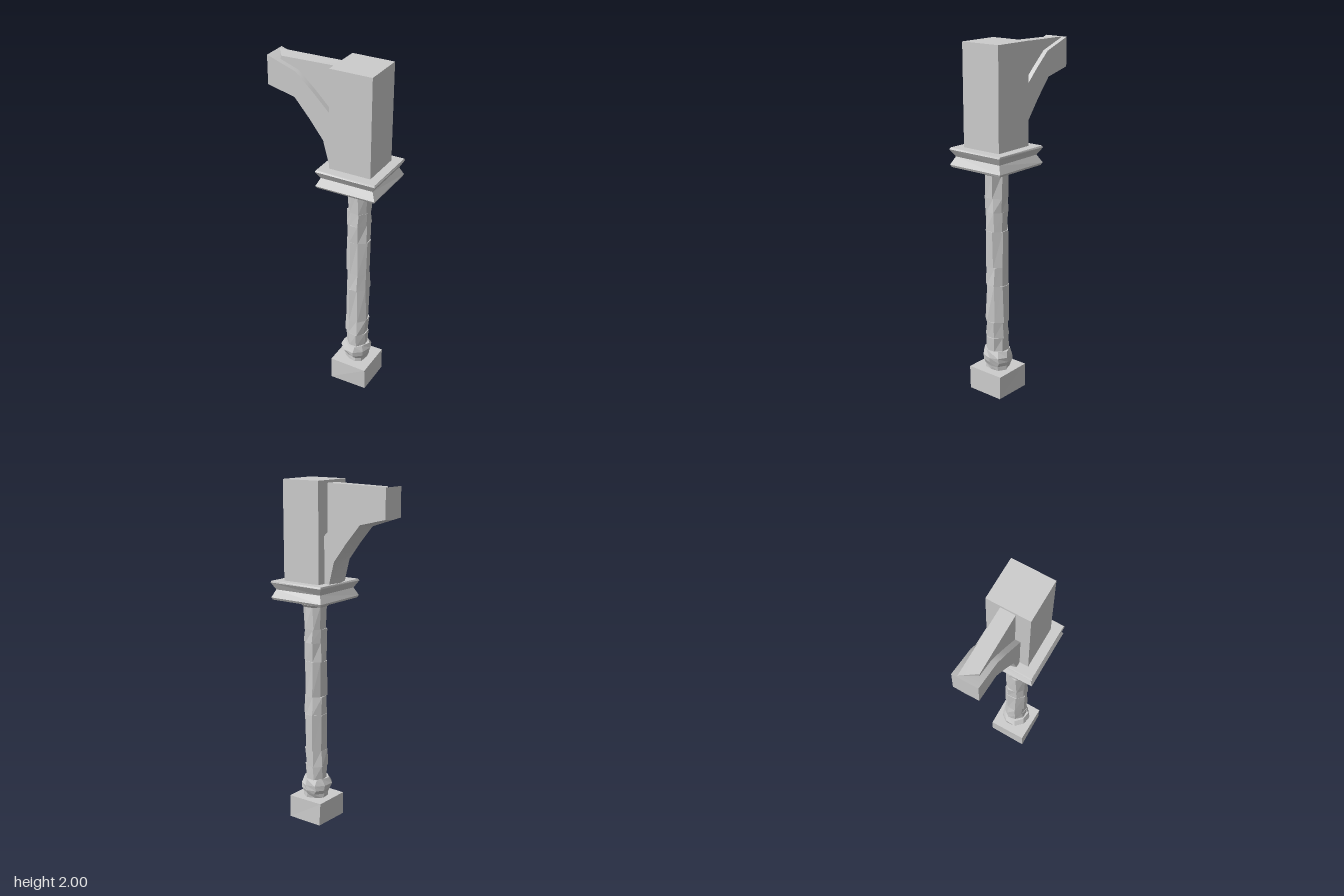
import * as THREE from 'three';
import { toCreasedNormals } from 'three/addons/utils/BufferGeometryUtils.js';

const AXIS_X = 0.17; // centre line of the column

const flat = new THREE.MeshStandardMaterial({ color: 0xcccccc, flatShading: true });
const smooth = new THREE.MeshStandardMaterial({ color: 0xcccccc });

function add(group, name, geometry, x, y, z, material = flat) {
  const mesh = new THREE.Mesh(geometry, material);
  mesh.name = name;
  mesh.position.set(x, y, z);
  group.add(mesh);
  return mesh;
}

// Chips a geometry: coincident corners always move together
function chip(geometry, amount, seed) {
  const p = geometry.attributes.position;
  const noise = (x, y, z, k) => {
    const s = Math.sin(x * 127.1 + y * 311.7 + z * 74.7 + seed * 19.3 + k * 53.9) * 4375.85;
    return (s - Math.floor(s)) * 2 - 1;
  };
  for (let i = 0; i < p.count; i++) {
    const v = [p.getX(i), p.getY(i), p.getZ(i)].map((n) => Math.round(n * 1000) / 1000 + 0);
    if (Math.hypot(v[0], v[2]) < 0.001) continue;
    p.setXYZ(i, v[0] + amount * noise(...v, 1), v[1], v[2] + amount * noise(...v, 2));
  }
  return geometry;
}

// Turned profile with few sides; [radius, height] pairs from bottom to top
function turned(profile, sides, start) {
  return new THREE.LatheGeometry(profile.map(([r, y]) => new THREE.Vector2(r, y)), sides, start);
}

// Joins equal rings of [x, y, z] points into a closed solid
function loft(rings) {
  const n = rings[0].length, out = [];
  const tri = (...pts) => pts.forEach((q) => out.push(...q));
  for (let i = 0; i < rings.length - 1; i++) {
    for (let j = 0; j < n; j++) {
      const k = (j + 1) % n;
      const a = rings[i][j], b = rings[i][k], c = rings[i + 1][k], d = rings[i + 1][j];
      tri(a, b, c);
      tri(a, c, d);
    }
  }
  const first = rings[0], last = rings[rings.length - 1];
  for (let j = 1; j < n - 1; j++) {
    tri(first[0], first[j + 1], first[j]);
    tri(last[0], last[j], last[j + 1]);
  }
  const g = new THREE.BufferGeometry();
  g.setAttribute('position', new THREE.Float32BufferAttribute(out, 3));
  return toCreasedNormals(g, 0.6);
}

export function createModel() {
  const model = new THREE.Group();
  model.name = 'bracketedColumn';

  // Square foot, slightly uneven
  add(model, 'footBlock', chip(new THREE.BoxGeometry(0.226, 0.135, 0.226), 0.004, 2), AXIS_X, 0.0675, 0);

  // Rough swelling at the bottom of the shaft
  const bulb = turned([[0, 0.13], [0.068, 0.13], [0.07, 0.16], [0.084, 0.185], [0.09, 0.215], [0.072, 0.25], [0, 0.25]], 9, 0.2);
  add(model, 'baseBulb', chip(bulb, 0.008, 5), AXIS_X, 0, 0);

  // Shaft of stacked, roughly hewn drums
  const shaft = new THREE.Group();
  shaft.name = 'shaft';
  const joints = [0.245, 0.33, 0.43, 0.65, 0.76, 0.97, 1.08, 1.16, 1.3];
  for (let i = 0; i < joints.length - 1; i++) {
    const h = joints[i + 1] - joints[i];
    const drum = new THREE.CylinderGeometry(0.066, 0.066, h, 8, 1, false, Math.PI / 8);
    add(shaft, 'drum' + (i + 1), chip(drum, 0.006, i + 1), AXIS_X, joints[i] + h / 2, 0);
  }
  model.add(shaft);

  // Flared collar below the capital
  const collar = turned([[0, 1.29], [0.072, 1.29], [0.088, 1.305], [0.088, 1.316], [0, 1.316]], 8, Math.PI / 8);
  add(model, 'collar', collar, AXIS_X, 0, 0);

  // Square capital with a waist
  const capitalProfile = [[0, 1.33], [0.17, 1.33], [0.178, 1.343], [0.155, 1.388], [0.178, 1.428], [0.174, 1.438], [0, 1.438]]
    .map(([r, y]) => [r * Math.SQRT2, y]);
  add(model, 'capital', chip(turned(capitalProfile, 4, Math.PI / 4), 0.002, 3), AXIS_X, 0, 0);

  // Upper post
  add(model, 'upperPost', new THREE.BoxGeometry(0.245, 0.565, 0.246), 0.1705, 1.7175, 0);

  // Curved brace: top edge, lower side edge and lower ridge at each station
  const stations = [
    [-0.352, 1.98, -0.352, 1.815, -0.352, 1.81],
    [-0.18, 1.92, -0.19, 1.777, -0.21, 1.763],
    [-0.08, 1.83, -0.1, 1.672, -0.12, 1.662],
    [0.05, 1.7, -0.018, 1.565, -0.038, 1.57],
    [0.07, 1.43, 0.02, 1.42, 0, 1.42],
  ];
  const w = 0.072;
  const brace = loft(stations.map(([tx, ty, sx, sy, rx, ry]) => [
    [tx, ty, -w], [tx, ty, w], [sx, sy, w], [rx, ry, 0], [sx, sy, -w],
  ]));
  add(model, 'brace', brace, 0, 0, 0, smooth);

  // Narrower web filling the corner above the brace
  const front = [[-0.29, 1.955], [-0.18, 1.91], [-0.08, 1.82], [0.06, 1.68], [0.06, 1.985], [-0.285, 1.977]];
  const back = front.map(([x, y], i) => (i === 0 || i === 5 ? [-0.346, 1.972 + (i ? 0.008 : 0)] : [x, y]));
  const web = loft([back.map(([x, y]) => [x, y, -0.043]), front.map(([x, y]) => [x, y, 0.041])]);
  add(model, 'braceWeb', web, 0, 0, 0, smooth);

  return model;
}
